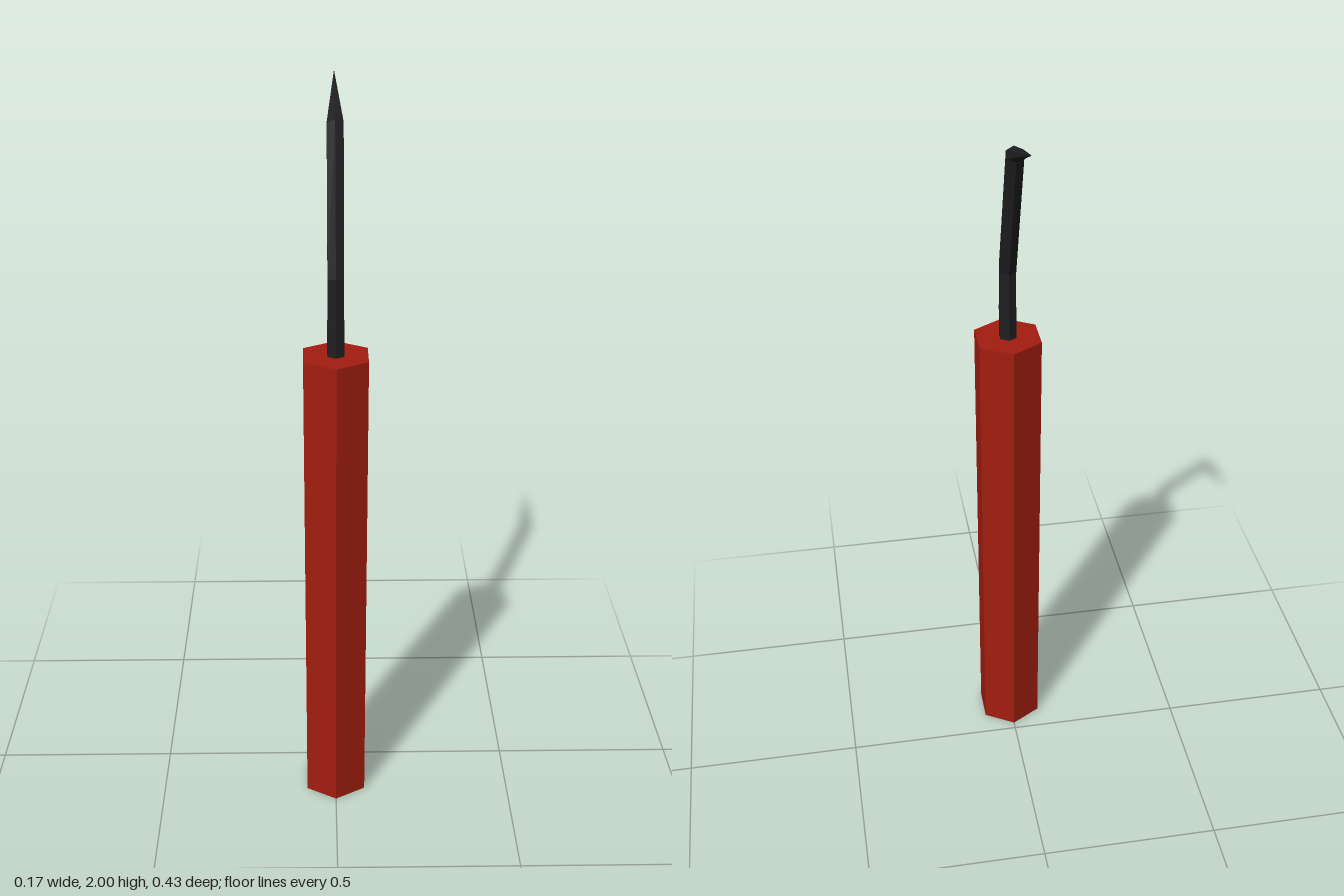
import * as THREE from 'three';

const SIDES = 6;

// Skin a hexagonal rod through rings of { y, z, halfWidth, dz, dy };
// (dz, dy) is the vector from the ring centre to its front corner, so bends are mitred.
function hexRod(rings, tip) {
  const positions = [];
  const index = [];
  for (const { y, z, r, dz, dy } of rings) {
    for (let i = 0; i < SIDES; i++) {
      const a = (i / SIDES) * Math.PI * 2;
      positions.push(r * Math.sin(a), y + dy * Math.cos(a), z + dz * Math.cos(a));
    }
  }
  for (let k = 0; k < rings.length - 1; k++) {
    for (let i = 0; i < SIDES; i++) {
      const a = k * SIDES + i;
      const b = k * SIDES + ((i + 1) % SIDES);
      index.push(a, b, b + SIDES, a, b + SIDES, a + SIDES);
    }
  }
  // Close the last ring to a sharp point
  const last = (rings.length - 1) * SIDES;
  positions.push(0, tip.y, tip.z);
  for (let i = 0; i < SIDES; i++) {
    index.push(last + i, last + ((i + 1) % SIDES), rings.length * SIDES);
  }
  const geometry = new THREE.BufferGeometry();
  geometry.setAttribute('position', new THREE.Float32BufferAttribute(positions, 3));
  geometry.setIndex(index);
  const flat = geometry.toNonIndexed();
  flat.computeVertexNormals();
  return flat;
}

export function createModel() {
  const group = new THREE.Group();
  const red = new THREE.MeshStandardMaterial({ color: 0xa31d0f, flatShading: true });
  const black = new THREE.MeshStandardMaterial({ color: 0x202022, flatShading: true });
  const axisZ = 0.118;

  // Hexagonal grip
  const handle = new THREE.Mesh(new THREE.CylinderGeometry(0.096, 0.096, 1.35, SIDES), red);
  handle.name = 'handle';
  handle.position.set(0, 0.675, axisZ);
  group.add(handle);

  // Bent shaft: slightly thicker root, leaning middle, pointed end
  const pick = new THREE.Mesh(hexRod([
    { y: 1.34, z: axisZ, r: 0.025, dz: 0.025, dy: 0 },
    { y: 1.44, z: axisZ, r: 0.025, dz: 0.025, dy: 0 },
    { y: 1.44, z: axisZ, r: 0.024, dz: 0.023, dy: 0 },
    { y: 1.55, z: axisZ, r: 0.024, dz: 0.023, dy: 0.01 },
    { y: 1.912, z: 0.003, r: 0.024, dz: 0.018, dy: 0.014 },
  ], { y: 2, z: -0.213 }), black);
  pick.name = 'pick';
  group.add(pick);

  return group;
}
